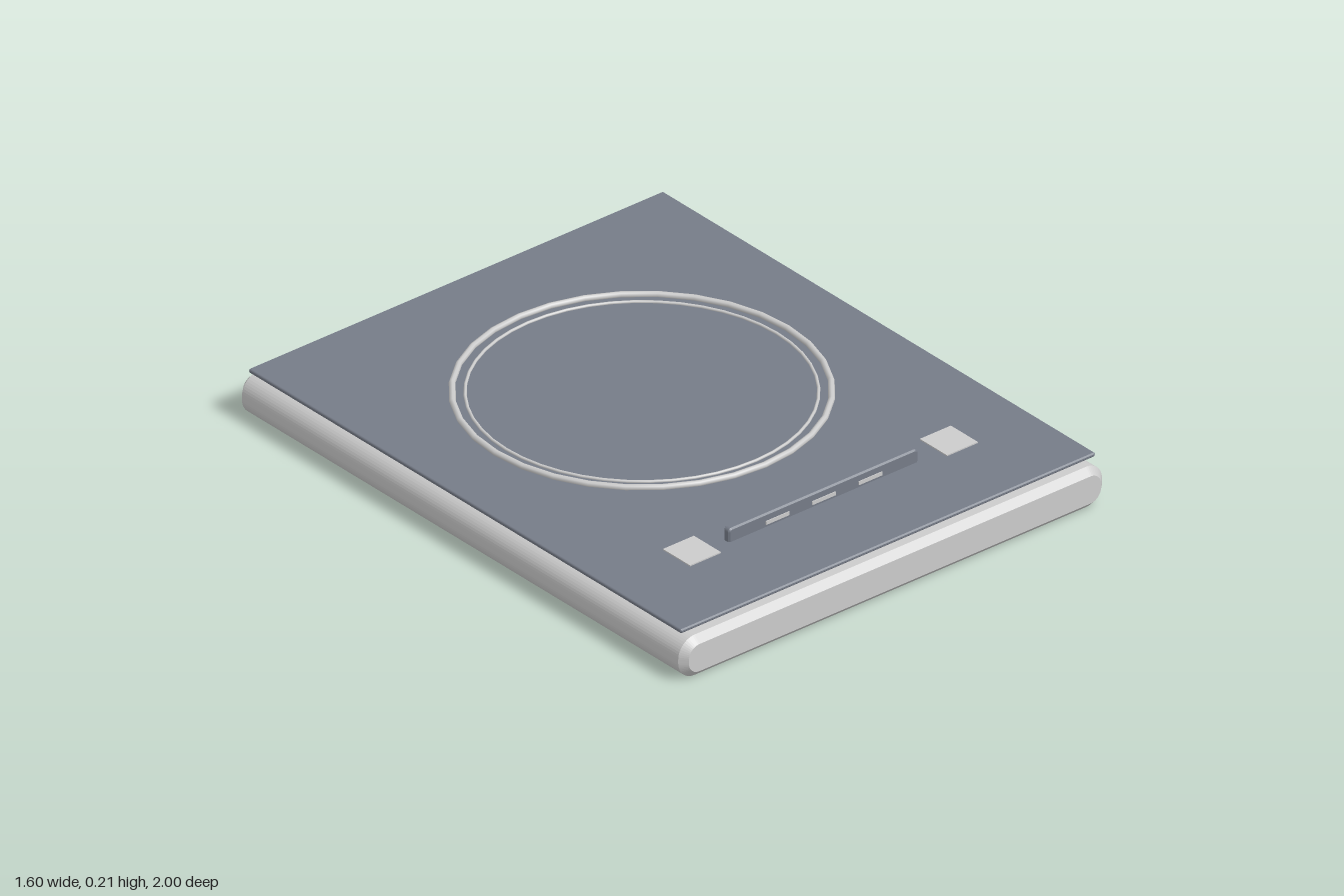
import * as THREE from 'three';

const grey = new THREE.MeshStandardMaterial({ color: 0xcccccc });
const dark = new THREE.MeshStandardMaterial({ color: 0x767c88 });

// Rounded bar: rounded rectangle in XY, extruded along z with a chamfer; sizes are overall
function roundedBar(name, w, h, d, radius, bevel, y, z, material) {
  const x1 = w / 2 - bevel, y1 = h / 2 - bevel, r = radius;
  const shape = new THREE.Shape();
  shape.absarc(x1 - r, y1 - r, r, 0, Math.PI / 2);
  shape.absarc(-x1 + r, y1 - r, r, Math.PI / 2, Math.PI);
  shape.absarc(-x1 + r, -y1 + r, r, Math.PI, Math.PI * 1.5);
  shape.absarc(x1 - r, -y1 + r, r, Math.PI * 1.5, Math.PI * 2);
  const geometry = new THREE.ExtrudeGeometry(shape, {
    depth: d - 2 * bevel, bevelEnabled: true, bevelSize: bevel,
    bevelThickness: bevel, bevelSegments: 1, curveSegments: 6,
  });
  geometry.translate(0, 0, -d / 2 + bevel);
  const mesh = new THREE.Mesh(geometry, material);
  mesh.name = name;
  mesh.position.set(0, y, z);
  return mesh;
}

function box(name, w, h, d, x, y, z) {
  const mesh = new THREE.Mesh(new THREE.BoxGeometry(w, h, d), grey);
  mesh.name = name;
  mesh.position.set(x, y, z);
  return mesh;
}

function ring(name, radius, tube, y, segments) {
  const mesh = new THREE.Mesh(new THREE.TorusGeometry(radius, tube, 8, segments), grey);
  mesh.name = name;
  mesh.rotation.x = -Math.PI / 2;
  mesh.position.set(0, y, -0.135);
  return mesh;
}

export function createModel() {
  const model = new THREE.Group();
  model.name = 'inductionCooktop';

  // Housing with the glass plate floating just above it
  model.add(roundedBar('housing', 1.6, 0.135, 2, 0.04, 0.022, 0.0675, 0, grey));
  model.add(roundedBar('glassPlate', 1.565, 0.014, 1.94, 0.002, 0.004, 0.156, 0, dark));

  // Cooking zone rings
  model.add(ring('outerRing', 0.55, 0.01, 0.168, 32));
  model.add(ring('innerRing', 0.511, 0.005, 0.165, 48));

  // Upright control panel with three indicator strips on its front
  model.add(roundedBar('controlPanel', 0.715, 0.06, 0.026, 0.008, 0.005, 0.177, 0.667, dark));
  for (const x of [-0.175, 0, 0.175]) {
    model.add(box('indicator', 0.088, 0.012, 0.006, x, 0.177, 0.68));
  }

  // Thin touch pads either side of the panel
  for (const side of [-1, 1]) {
    model.add(box('touchPad', 0.117, 0.004, 0.121, side * 0.485, 0.177, 0.665));
  }
  return model;
}
